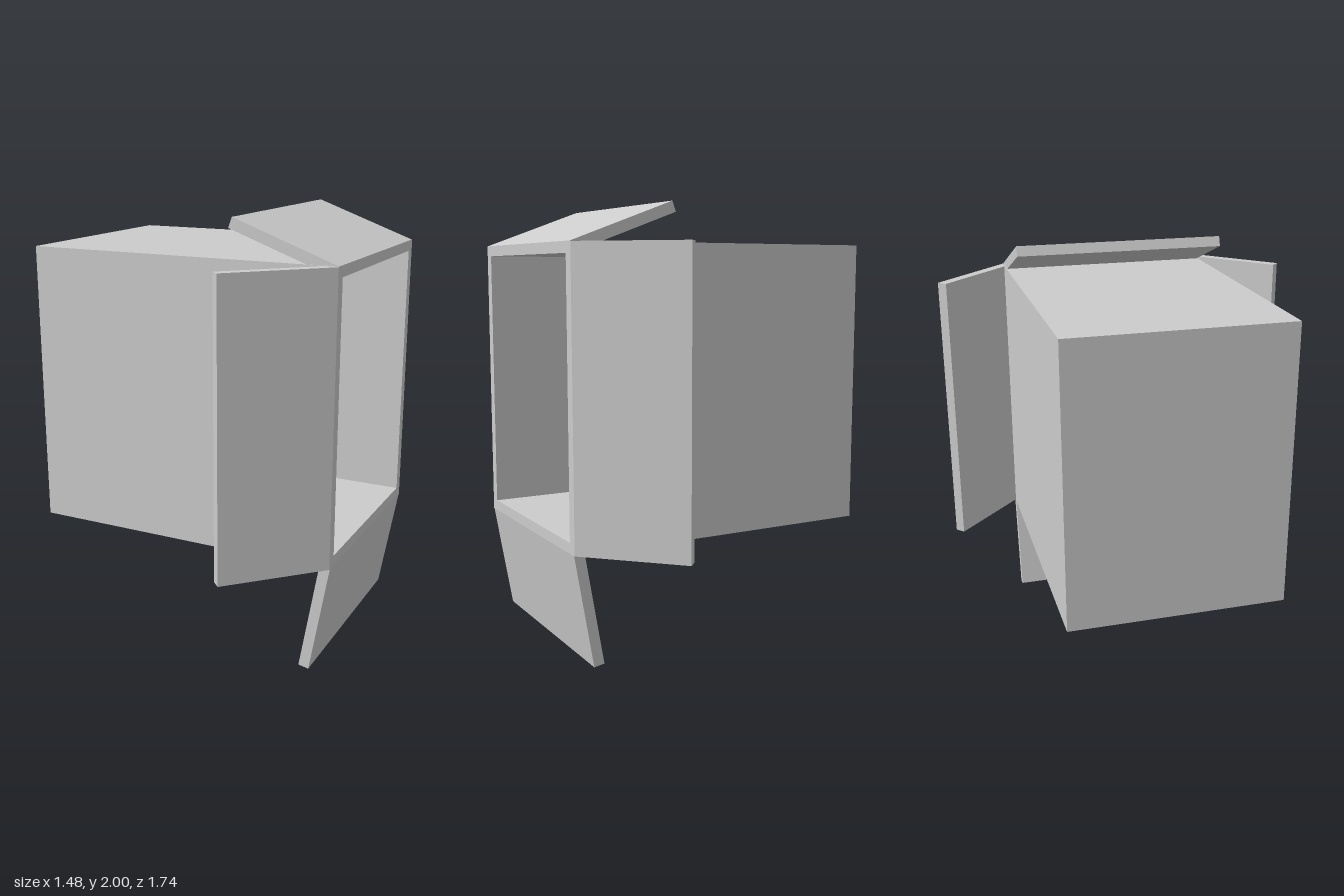
import * as THREE from 'three';

export function createModel() {
  const group = new THREE.Group();
  const grey = new THREE.MeshStandardMaterial({ color: 0xcccccc });
  grey.name = 'light grey card';

  const cy = 1.168, halfH = 0.658, halfD = 0.508; // box centre height and half sizes
  const back = -0.738, front = 0.737, wall = 0.049;

  const add = (name, geometry, parent = group) => {
    const mesh = new THREE.Mesh(geometry, grey);
    mesh.name = name;
    parent.add(mesh);
    return mesh;
  };

  const rectangle = (Type, w, h) => new Type([
    new THREE.Vector2(-w, -h), new THREE.Vector2(w, -h),
    new THREE.Vector2(w, h), new THREE.Vector2(-w, h),
  ]);

  // Four walls as one rectangular tube, open towards +x
  const frame = rectangle(THREE.Shape, halfD, halfH);
  frame.holes.push(rectangle(THREE.Path, halfD - wall, halfH - wall));
  const tube = new THREE.ExtrudeGeometry(frame, { depth: front - back, bevelEnabled: false });
  tube.rotateY(Math.PI / 2);
  add('boxWalls', tube).position.set(back, cy, 0);

  // Closed end, set inside the tube
  add('boxEnd', new THREE.BoxGeometry(wall, 2 * (halfH - wall), 2 * (halfD - wall)))
    .position.set(back + wall / 2, cy, 0);

  // Flaps hinged on the rim: roll picks the edge, dx and out give the opening direction
  const flaps = [
    { name: 'topFlap', roll: 0, reach: halfH, width: 2 * halfD - 0.01, dx: -0.475, out: 0.174 },
    { name: 'leftFlap', roll: Math.PI / 2, reach: halfD, width: 2 * halfH - 0.004, dx: -0.36, out: 0.36 },
    { name: 'bottomFlap', roll: Math.PI, reach: halfH, width: 2 * halfD - 0.01, dx: -0.088, out: 0.508 },
    { name: 'rightFlap', roll: -Math.PI / 2, reach: halfD, width: 2 * halfH - 0.004, dx: -0.36, out: 0.36 },
  ];
  for (const { name, roll, reach, width, dx, out } of flaps) {
    const length = Math.hypot(dx, out);
    const pivot = new THREE.Group();
    pivot.name = name + 'Hinge';
    pivot.position.y = cy;
    pivot.rotation.x = roll;
    const geometry = new THREE.BoxGeometry(length, wall, width).translate(length / 2, wall / 2, 0);
    const flap = add(name, geometry, pivot);
    flap.position.set(front, reach, 0);
    flap.rotation.z = Math.atan2(out, dx);
    group.add(pivot);
  }
  return group;
}
